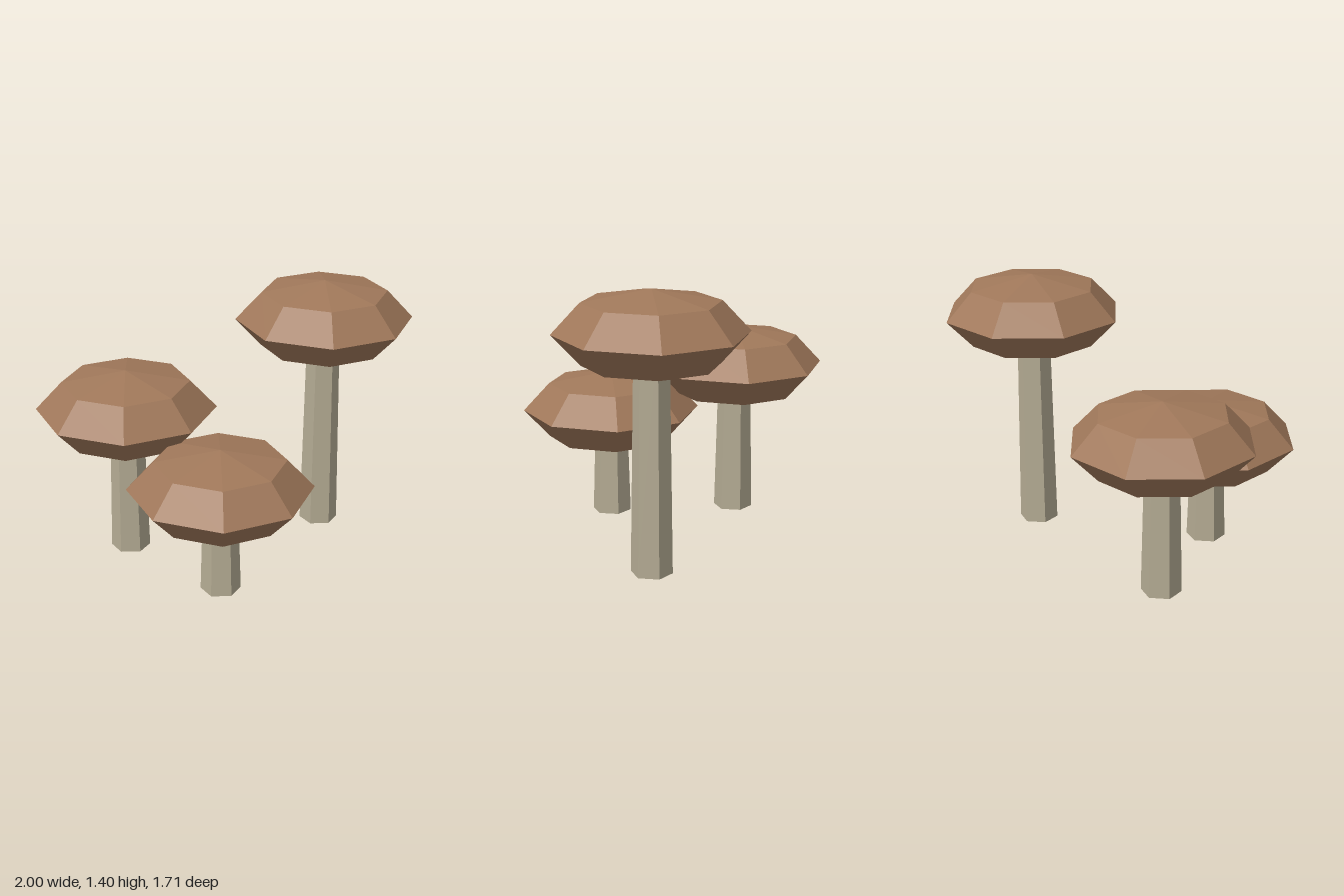
import * as THREE from 'three';

const CAP_RADIUS = 0.473;
const CAP_HALF_HEIGHT = 0.21;

const capMaterial = new THREE.MeshStandardMaterial({ color: 0xa0785a, flatShading: true });
const stemMaterial = new THREE.MeshStandardMaterial({ color: 0xb5ac94, flatShading: true });

// One mushroom: tapered hexagonal stem and a squashed eight-sided cap
function createMushroom(name, x, z, capY) {
  const mushroom = new THREE.Group();
  mushroom.name = name;
  mushroom.position.set(x, 0, z);

  // The stem runs up into the middle of the cap, with corners on the x axis
  const stemGeometry = new THREE.CylinderGeometry(0.086, 0.104, capY, 6);
  stemGeometry.rotateY(Math.PI / 6);
  stemGeometry.translate(0, capY / 2, 0);
  const stem = new THREE.Mesh(stemGeometry, stemMaterial);
  stem.name = 'stem';

  const capGeometry = new THREE.SphereGeometry(CAP_RADIUS, 8, 4);
  capGeometry.scale(1, CAP_HALF_HEIGHT / CAP_RADIUS, 1);
  capGeometry.translate(0, capY, 0);
  const cap = new THREE.Mesh(capGeometry, capMaterial);
  cap.name = 'cap';

  mushroom.add(stem, cap);
  return mushroom;
}

export function createModel() {
  const group = new THREE.Group();
  group.name = 'mushroomCluster';
  group.add(
    createMushroom('tallMushroom', 0.527, -0.38, 1.195),
    createMushroom('middleMushroom', -0.527, -0.098, 0.813),
    createMushroom('shortMushroom', -0.052, 0.38, 0.576),
  );
  return group;
}
